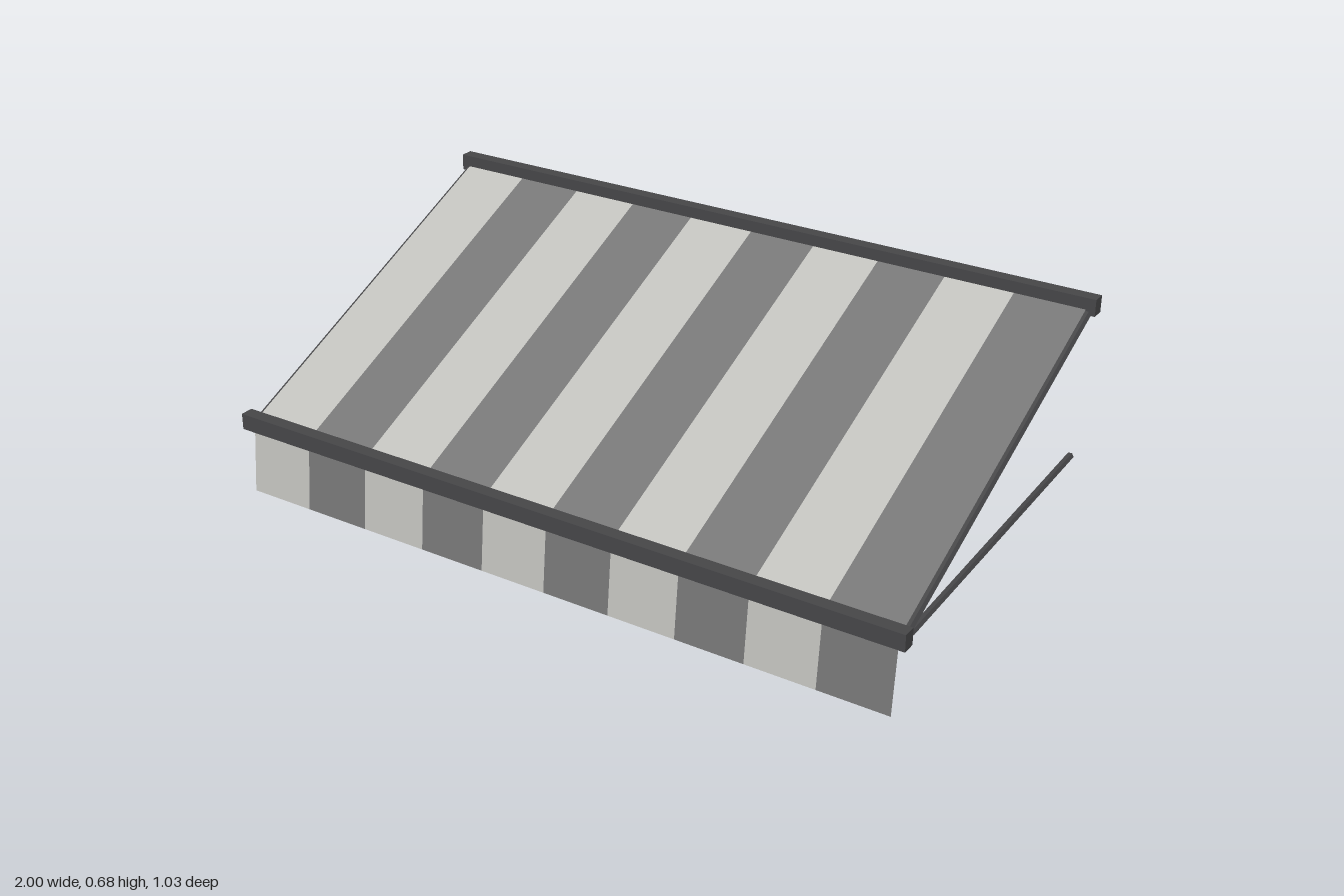
import * as THREE from 'three';

const material = (name, color, extra = {}) =>
  Object.assign(new THREE.MeshStandardMaterial({ color, ...extra }), { name });

export function createModel() {
  const model = new THREE.Group();
  model.name = 'awning';
  const frame = material('frameGrey', 0x464648, { flatShading: true });
  const light = material('lightFabric', 0xc0c0bc, { side: THREE.DoubleSide });
  const dark = material('darkFabric', 0x767676, { side: THREE.DoubleSide });

  const add = (name, geometry, mat, parent = model) => {
    const mesh = new THREE.Mesh(geometry, mat);
    mesh.name = name;
    parent.add(mesh);
    return mesh;
  };

  // Striped cloth between a lower and an upper edge, each given as [z, y]
  const stripes = (name, [z0, y0], [z1, y1], count = 10, halfWidth = 0.975) => {
    const cloth = new THREE.Group();
    cloth.name = name;
    model.add(cloth);
    const w = (2 * halfWidth) / count;
    for (let i = 0; i < count; i++) {
      const g = new THREE.PlaneGeometry(w, Math.hypot(z1 - z0, y1 - y0));
      g.rotateX(Math.atan2(z1 - z0, y1 - y0));
      g.translate(-halfWidth + w * (i + 0.5), (y0 + y1) / 2, (z0 + z1) / 2);
      add(name + 'Stripe', g, i % 2 ? dark : light, cloth);
    }
  };

  // Six-sided rod between two [z, y] points at a given x
  const rod = (name, x, r, [z0, y0], [z1, y1]) => {
    const g = new THREE.CylinderGeometry(r, r, Math.hypot(z1 - z0, y1 - y0), 6);
    g.rotateY(Math.PI / 6);
    g.rotateX(Math.atan2(z1 - z0, y1 - y0));
    g.translate(x, (y0 + y1) / 2, (z0 + z1) / 2);
    add(name, g, frame);
  };

  // Sloping canopy and hanging front valance
  stripes('canopy', [0.5, 0.203], [-0.5, 0.652]);
  stripes('valance', [0.517, 0], [0.497, 0.2]);

  // Wall bar and front bar
  add('wallBar', new THREE.BoxGeometry(2, 0.046, 0.037), frame).position.set(0, 0.652, -0.499);
  add('frontBar', new THREE.BoxGeometry(2, 0.046, 0.037), frame).position.set(0, 0.206, 0.499);

  // Rafters under the canopy and support struts back to the wall
  for (const t of [-1, -1 / 3, 1 / 3, 1]) {
    rod('rafter', t * 0.977, 0.012, [0.49, 0.193], [-0.5, 0.637]);
    rod('strut', t * 0.968, 0.0105, [0.418, 0.174], [-0.495, 0.22]);
  }
  return model;
}
